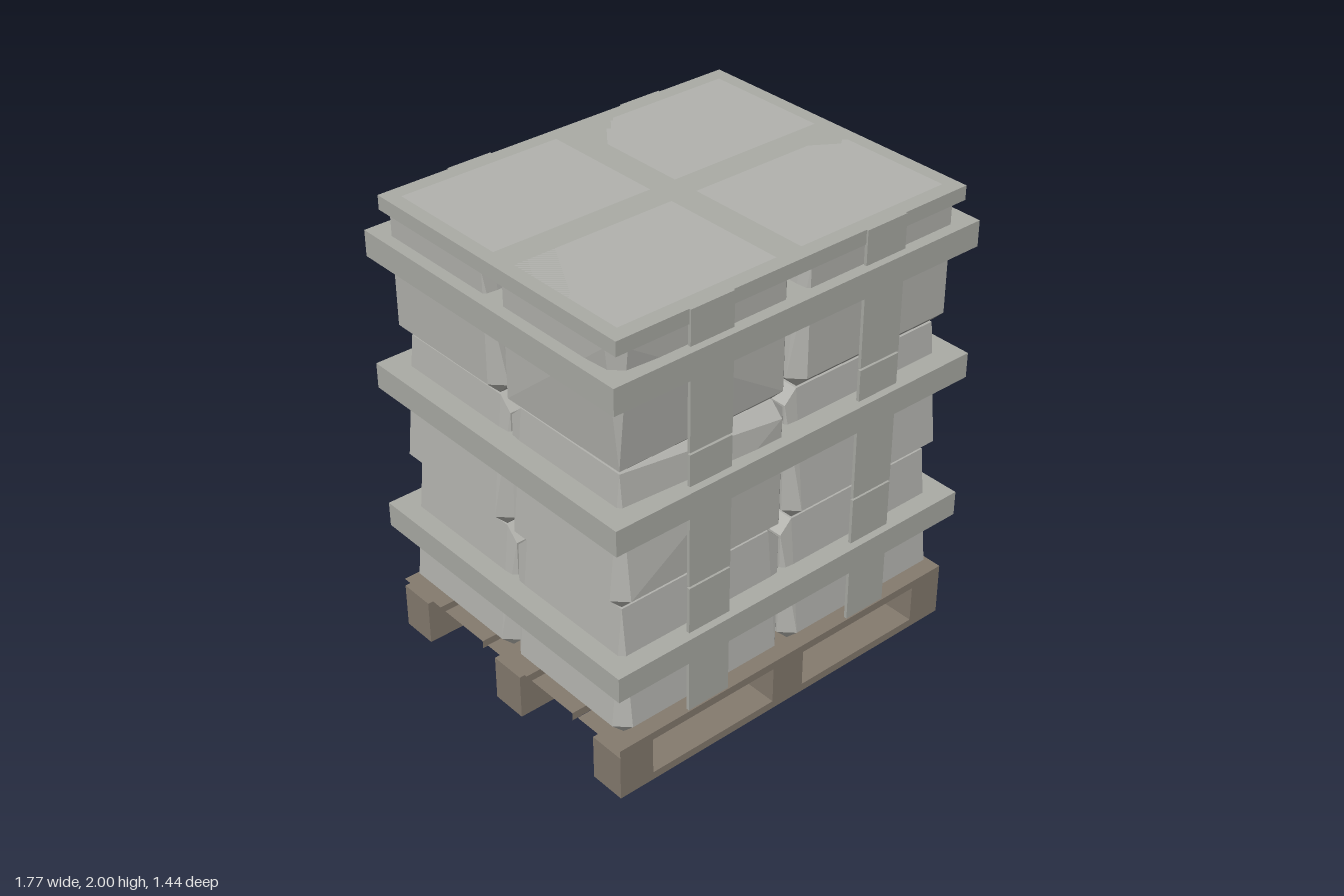
import * as THREE from 'three';
import { ConvexGeometry } from 'three/addons/geometries/ConvexGeometry.js';

const mat = (name, color) => {
  const m = new THREE.MeshStandardMaterial({ color });
  m.name = name;
  return m;
};

export function createModel() {
  const wood = mat('weathered wood', 0x857b6f);
  const sackGrey = mat('sack grey', 0xb3b3ae);
  const bandGrey = mat('band grey', 0xabaca6);
  const model = new THREE.Group();
  const pallet = new THREE.Group();
  pallet.name = 'pallet';
  const load = new THREE.Group();
  load.name = 'load';
  model.add(pallet, load);

  const add = (parent, name, geometry, material, x = 0, y = 0, z = 0) => {
    const mesh = new THREE.Mesh(geometry, material);
    mesh.name = name;
    mesh.position.set(x, y, z);
    parent.add(mesh);
    return mesh;
  };
  const box = (parent, name, material, w, h, d, x, y, z) =>
    add(parent, name, new THREE.BoxGeometry(w, h, d), material, x, y, z);

  // Pallet runners with three blocks each
  for (const z of [-0.61, 0, 0.61]) {
    box(pallet, 'runner', wood, 1.72, 0.035, 0.16, 0, 0.0175, z);
    for (const x of [-0.78, 0, 0.78]) box(pallet, 'block', wood, 0.16, 0.165, 0.16, x, 0.1175, z);
  }

  // Deck planks, open at both ends
  for (let i = -2; i <= 2; i++) {
    const g = new THREE.BoxGeometry(1.72, 0.035, 0.25);
    g.setIndex(Array.from(g.index.array).slice(12));
    g.clearGroups();
    add(pallet, 'deckPlank', g, wood, 0, 0.2175, i * 0.2825);
  }

  // Bevelled sack: each corner has up to three points, one for each adjoining face
  const C = 0.055;
  const sackGeometry = (sx, sz, layer) => {
    const points = [];
    const turned = sx * sz < 0;
    for (const outX of [false, true]) for (const outZ of [false, true]) for (const top of [false, true]) {
      let faceX = true, faceZ = true;
      if (layer < 2 && top) {
        // lower layers lean in on their outer sides
        faceX = !outX;
        faceZ = !outZ;
        if (layer === 1 && sx < 0 && sz > 0 && !outX) faceZ = true;
      } else if (layer === 2 && top && !turned) {
        // top layer narrows towards its middle gaps
        faceX = outX;
        faceZ = outZ;
      } else if (layer === 2 && !top && turned && outX && outZ) {
        faceX = faceZ = false;
      }
      const at = (ix, iy, iz) => points.push(new THREE.Vector3(
        sx * (outX ? 0.835 - ix : 0.005 + ix),
        top ? 0.58 - iy : iy,
        sz * (outZ ? 0.67 - iz : 0.005 + iz)));
      at(C, 0, C);
      if (faceX) at(0, C, C);
      if (faceZ) at(C, C, 0);
    }
    return new ConvexGeometry(points);
  };

  const bandHeights = [0.56, 1.22, 1.8];
  for (let layer = 0; layer < 3; layer++) {
    const y = 0.24 + layer * 0.59;
    for (const sx of [-1, 1]) for (const sz of [-1, 1]) {
      add(load, 'sack', sackGeometry(sx, sz, layer), sackGrey, 0, y, 0);
      // Upright strap section over each sack
      box(load, 'strap', bandGrey, 0.2, 0.58, 0.014, sx * 0.42, y + 0.29, sz * 0.681);
    }
    // Band around the layer
    box(load, 'band', bandGrey, 1.77, 0.11, 1.44, 0, bandHeights[layer], 0);
  }

  // Cover sheet
  box(load, 'cover', bandGrey, 1.68, 0.06, 1.36, 0, 1.97, 0);

  return model;
}
